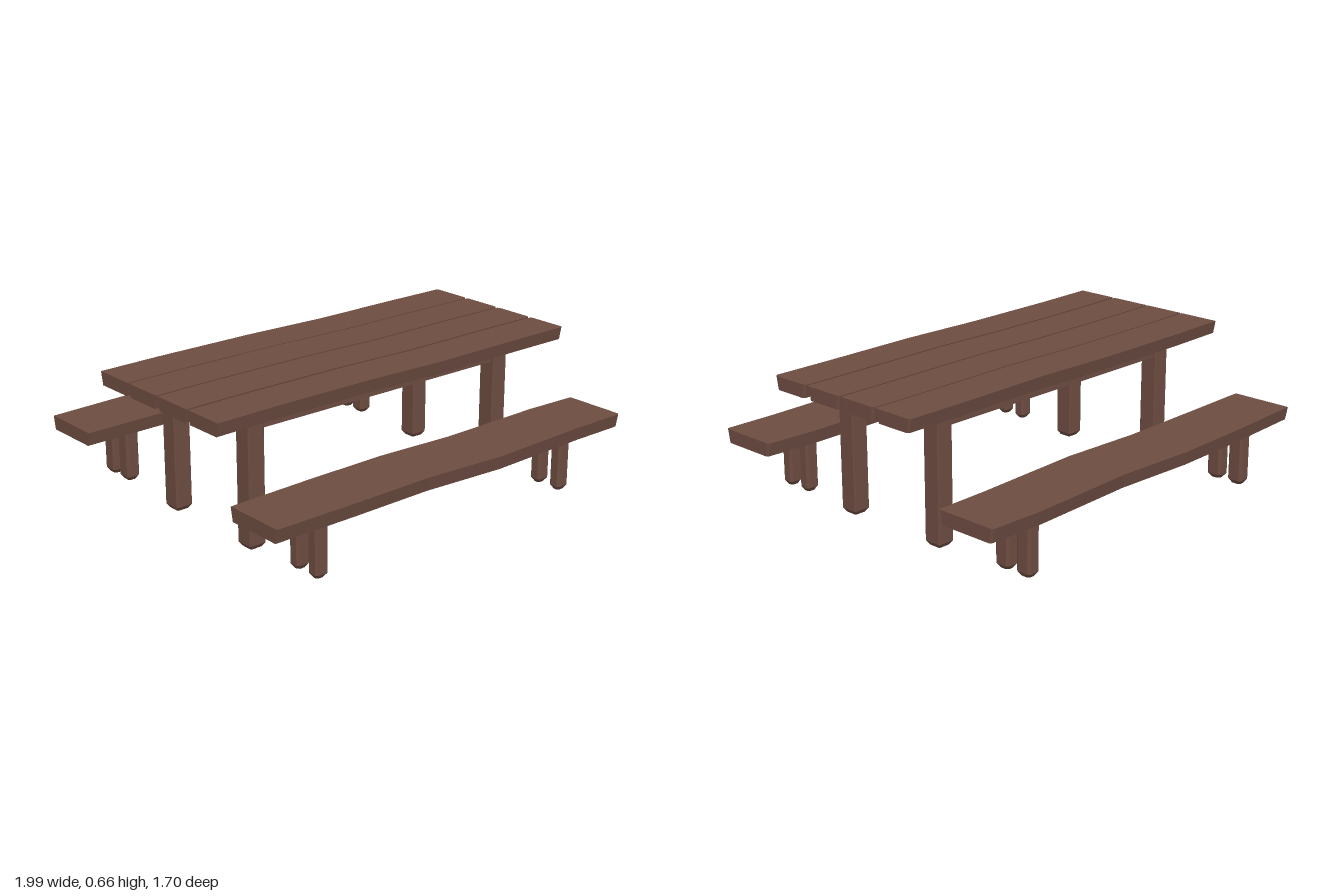
import * as THREE from 'three';

const wood = new THREE.MeshStandardMaterial({ color: 0x6d4c41, flatShading: true });
wood.name = 'brown wood';

// Joins equal loops of [x, y, z] points into a closed solid, capped at both ends.
function loft(name, loops) {
  const n = loops[0].length, index = [];
  for (let i = 0; i < loops.length - 1; i++) {
    for (let j = 0; j < n; j++) {
      const a = i * n + j, b = i * n + (j + 1) % n;
      index.push(a, b, a + n, b, b + n, a + n);
    }
  }
  const last = (loops.length - 1) * n;
  for (let j = 1; j < n - 1; j++) {
    index.push(0, j + 1, j, last, last + j, last + j + 1);
  }
  const geo = new THREE.BufferGeometry();
  geo.setAttribute('position', new THREE.Float32BufferAttribute(loops.flat(2), 3));
  geo.setIndex(index);
  const flat = geo.toNonIndexed();
  flat.computeVertexNormals();
  const mesh = new THREE.Mesh(flat, wood);
  mesh.name = name;
  return mesh;
}

// Wavy plank along x; each station is [x, zMin, zMax], the underside is a little narrower.
function plank(name, y0, y1, stations) {
  const inset = 0.012;
  return loft(name, stations.map(([x, a, b]) => [
    [x, y0, a + inset], [x, y1, a], [x, y1, b], [x, y0, b - inset],
  ]));
}

// Upright post with bevelled corners and a bevelled foot.
function post(name, x, z, w, d, y0, y1, bevel) {
  const ring = (y, s) => {
    const hx = w / 2 - s, hz = d / 2 - s, c = bevel;
    return [[hx - c, hz], [hx, hz - c], [hx, c - hz], [hx - c, -hz],
      [c - hx, -hz], [-hx, c - hz], [-hx, hz - c], [c - hx, hz]]
      .map(([px, pz]) => [x + px, y, z + pz]);
  };
  return loft(name, [ring(y0, 0.013), ring(y0 + 0.02, 0), ring(y1, 0)]);
}

function rail(name, x, z, w, d) {
  const mesh = new THREE.Mesh(new THREE.BoxGeometry(w, 0.052, d), wood);
  mesh.name = name;
  mesh.position.set(x, 0.553, z);
  return mesh;
}

export function createModel() {
  const model = new THREE.Group();
  model.name = 'picnicTable';

  // Four table-top planks sharing one gentle wave
  const wave = [[-1, 0], [-0.7, -0.009], [-0.2, -0.009], [0.2, 0.007], [0.7, 0], [0.975, 0]];
  [[-0.38, -0.175], [-0.167, 0.033], [0.043, 0.247], [0.259, 0.459]].forEach(([a, b], i) => {
    const stations = wave.map(([x, s]) => [x, a + s, b + s]);
    stations.push([0.983, a + 0.01, b - 0.01]);
    model.add(plank('tablePlank' + (i + 1), 0.602, 0.663, stations));
  });

  // Bench seats
  model.add(plank('frontBenchSeat', 0.272, 0.335, [
    [-1, 0.53, 0.825], [-0.6, 0.515, 0.825], [-0.2, 0.508, 0.819], [0.2, 0.53, 0.845],
    [0.72, 0.518, 0.826], [0.975, 0.529, 0.826], [0.983, 0.539, 0.816],
  ]));
  model.add(plank('backBenchSeat', 0.272, 0.335, [
    [-0.992, -0.818, -0.522], [-0.6, -0.839, -0.53], [-0.2, -0.85, -0.537], [0.2, -0.83, -0.518],
    [0.74, -0.85, -0.542], [0.985, -0.841, -0.546], [0.994, -0.83, -0.556],
  ]));

  // Legs and cross rails at both ends
  for (const [side, x] of [['right', -0.722], ['left', 0.696]]) {
    model.add(post(side + 'FrontTableLeg', x, 0.297, 0.084, 0.086, 0, 0.605, 0.004));
    model.add(post(side + 'BackTableLeg', x, -0.235, 0.084, 0.086, 0, 0.605, 0.004));
    for (const z of [0.733, 0.615]) {
      model.add(post(side + 'FrontBenchLeg', x, z, 0.066, 0.058, 0.018, 0.275, 0.01));
    }
    for (const z of [-0.628, -0.745]) {
      model.add(post(side + 'BackBenchLeg', x, z, 0.066, 0.074, 0.018, 0.275, 0.01));
    }
    model.add(rail(side + 'CrossRail', x, 0.031, 0.05, 0.46));
  }

  // Long rails
  model.add(rail('frontLongRail', -0.013, 0.297, 1.35, 0.05));
  model.add(rail('backLongRail', -0.013, -0.235, 1.35, 0.05));
  return model;
}
